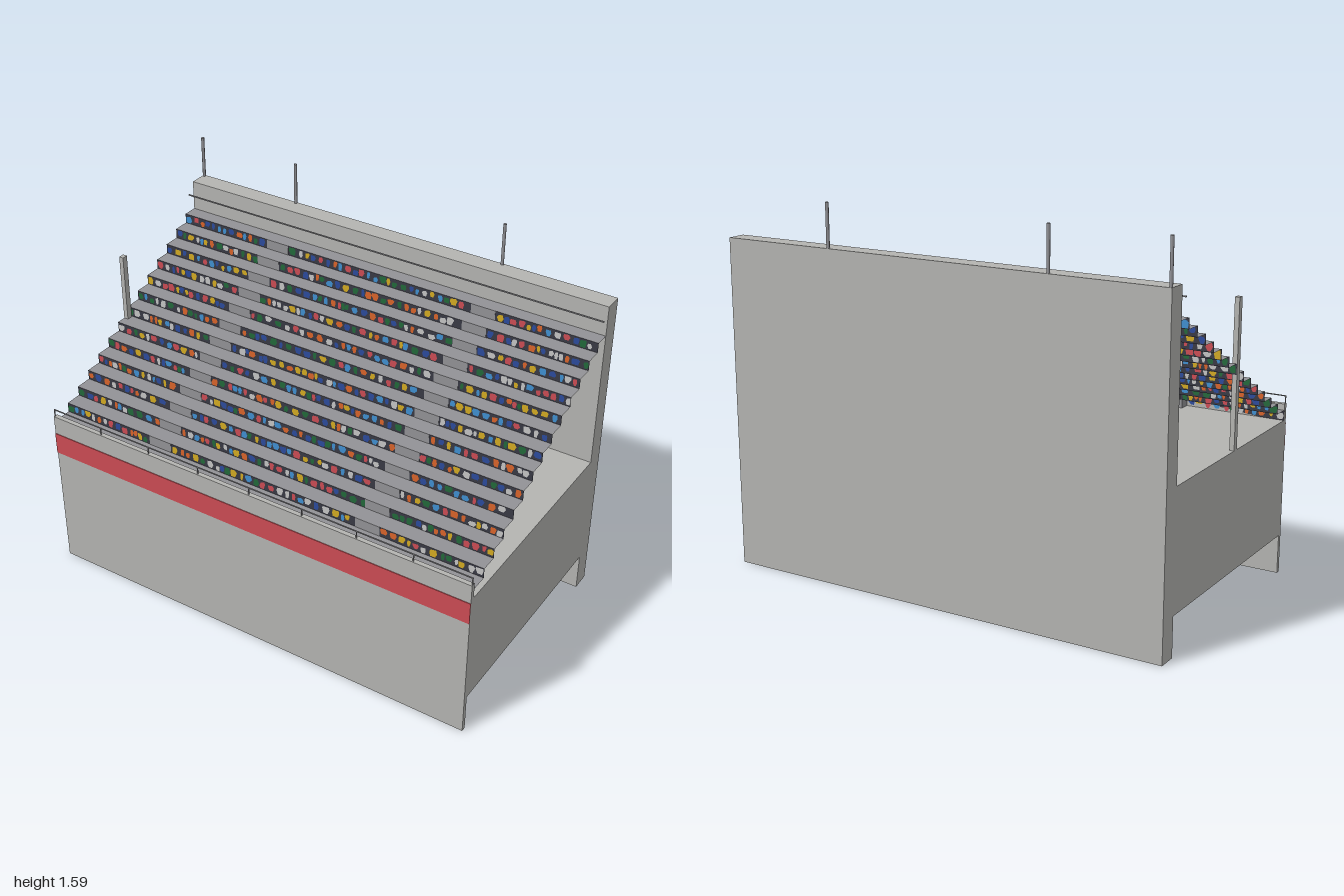
import * as THREE from 'three';
import { mergeGeometries } from 'three/addons/utils/BufferGeometryUtils.js';

const mat = (name, color, side = THREE.FrontSide) => {
  const m = new THREE.MeshStandardMaterial({ color, side });
  m.name = name;
  return m;
};

export function createModel() {
  const group = new THREE.Group();
  const D = THREE.DoubleSide;
  const concrete = mat('concrete', 0xb4b4b1);
  const stepGrey = mat('step grey', 0x929296, D);
  const red = mat('red', 0xcb4c54, D);
  const shade = mat('dark seats', 0x383944, D);
  const people = [
    mat('blue', 0x2b4a9c, D), mat('sky blue', 0x3f8fd0, D), mat('orange', 0xd9632a, D),
    mat('yellow', 0xd2aa22, D), mat('pale grey', 0xc4c4c4, D), mat('green', 0x22683a, D), red,
  ];

  const add = (name, geometry, material) => {
    const mesh = new THREE.Mesh(geometry, material);
    mesh.name = name;
    group.add(mesh);
    return mesh;
  };
  // Box given by its limits on each axis
  const box = (x0, x1, y0, y1, z0, z1) =>
    new THREE.BoxGeometry(x1 - x0, y1 - y0, z1 - z0)
      .translate((x0 + x1) / 2, (y0 + y1) / 2, (z0 + z1) / 2);

  // Concrete structure
  add('deck', box(-1, 1, 0.167, 0.67, -0.472, 0.532), concrete);
  add('frontWall', box(-1, 1, 0, 0.74, 0.532, 0.552), concrete);
  add('backWall', box(-1, 1, 0, 1.41, -0.555, -0.472), concrete);
  add('sideColumn', box(-1, -0.98, 0.67, 1.275, 0.03, 0.056), concrete);
  add('frontStripe', box(-1, 1, 0.557, 0.655, 0.552, 0.555), red);

  // Terrace: treads, aisle steps and crowd fronts
  const rows = 14, run = 0.0723, rise = 0.0435, z0 = 0.532, y0 = 0.67;
  const aisles = [[-0.56, -0.45], [0.44, 0.55]];
  const stands = [[-1, -0.56], [-0.45, 0.44], [0.55, 1]];
  const treads = [], aisleSteps = [], fronts = [];
  const blobs = people.map(() => []);

  let seed = 7;
  const rand = (a = 0, b = 1) => {
    seed = (seed * 16807) % 2147483647;
    return a + (b - a) * (seed / 2147483647);
  };

  // Irregular patch of colour standing for one spectator
  const blob = (x, y, w, h) => {
    const s = new THREE.Shape();
    s.moveTo(x + w * rand(0, 0.3), y);
    s.lineTo(x + w * rand(0.6, 0.9), y);
    s.lineTo(x + w, y + h * rand(0.4, 0.8));
    s.lineTo(x + w * rand(0.7, 0.95), y + h);
    s.lineTo(x + w * rand(0, 0.25), y + h * rand(0.85, 1));
    s.lineTo(x, y + h * rand(0.35, 0.7));
    return new THREE.ShapeGeometry(s);
  };

  for (let i = 0; i < rows; i++) {
    const z = z0 - i * run, y = y0 + i * rise;
    const back = i === rows - 1 ? -0.472 : z - run;
    treads.push(new THREE.PlaneGeometry(2, z - back).rotateX(-Math.PI / 2)
      .translate(0, y + rise, (z + back) / 2));
    for (const [a, b] of aisles) aisleSteps.push(box(a, b, y, y + rise, z - 0.048, z + 0.001));
    for (const [a, b] of stands) {
      fronts.push(new THREE.PlaneGeometry(b - a, rise).translate((a + b) / 2, y + rise / 2, z));
      for (let x = a + rand(0, 0.01); x < b - 0.02;) {
        const w = Math.min(rand(0.015, 0.036), b - x);
        const h = rand(0.024, 0.036);
        const g = blob(x, y + rand(0.002, rise - h - 0.001), w, h);
        // Shown on both faces of the seat front
        const list = blobs[Math.floor(rand(0, people.length - 0.001))];
        list.push(g.clone().translate(0, 0, z + 0.0012), g.translate(0, 0, z - 0.0012));
        x += w + rand(0, 0.017);
      }
    }
  }
  add('treads', mergeGeometries(treads), stepGrey);
  add('aisleSteps', mergeGeometries(aisleSteps), stepGrey);
  add('seatFronts', mergeGeometries(fronts), shade);
  people.forEach((m, i) => add(`crowd ${m.name}`, mergeGeometries(blobs[i]), m));

  // Rails and poles
  const frontRail = [box(-1, 1, 0.77, 0.774, 0.543, 0.547)];
  for (let i = 0; i <= 8; i++) {
    const x = -0.998 + i * 0.2495;
    frontRail.push(box(x - 0.002, x + 0.002, 0.74, 0.771, 0.543, 0.547));
  }
  add('frontRail', mergeGeometries(frontRail), stepGrey);
  add('backRail', box(-1, 1, 1.357, 1.362, -0.441, -0.436), stepGrey);
  for (const x of [-0.993, -0.503, 0.497]) {
    add('pole', new THREE.CylinderGeometry(0.007, 0.007, 0.185, 8).translate(x, 1.5, -0.548), stepGrey);
  }
  return group;
}
